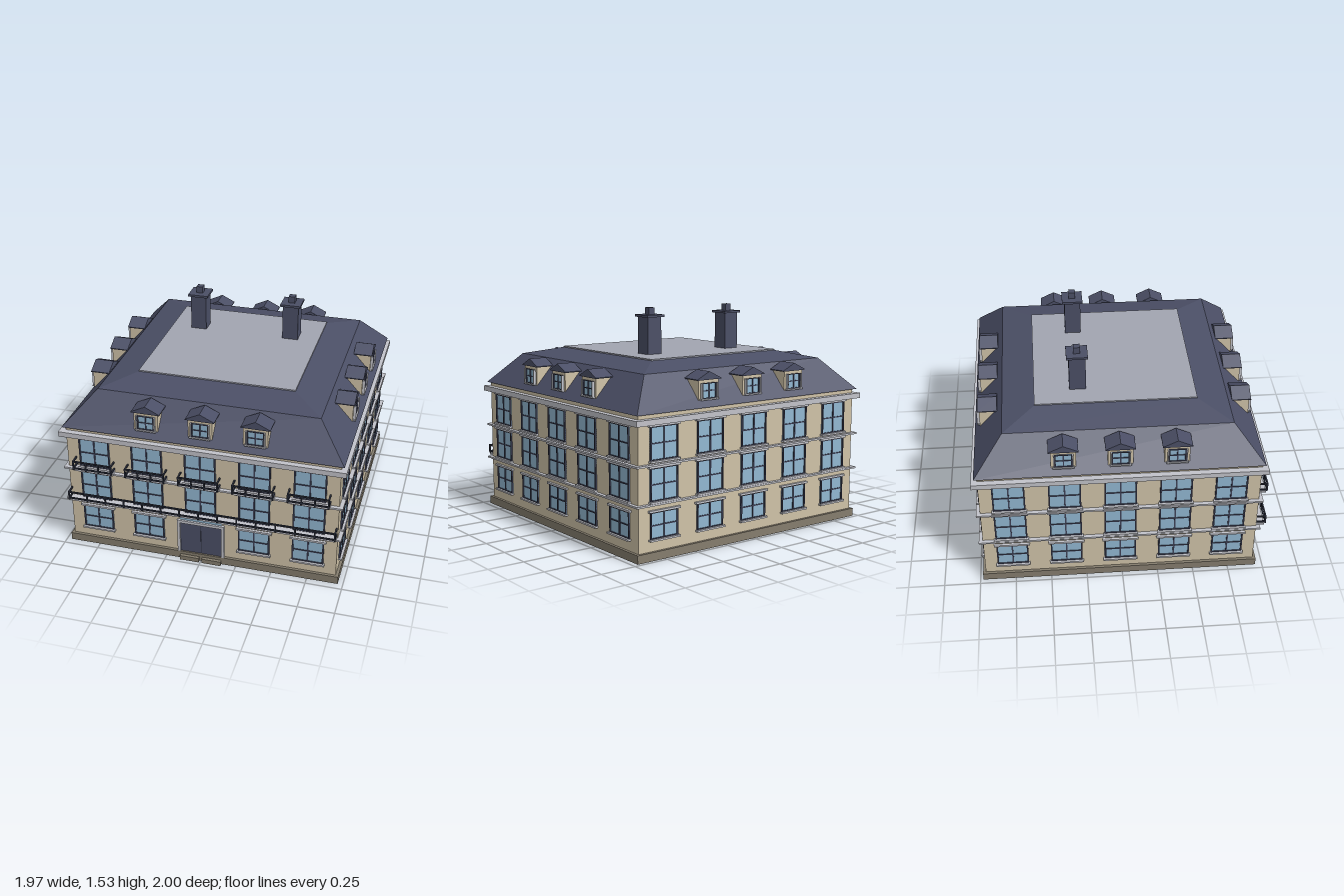
import * as THREE from 'three';

const mat = (name, color) => {
  const m = new THREE.MeshStandardMaterial({ color });
  m.name = name;
  return m;
};

export function createModel() {
  const M = {
    wall: mat('sandstone', 0xd0c3a8),
    trim: mat('pale trim', 0xc2c3ca),
    glass: mat('window glass', 0x92b8d2),
    frame: mat('window frame', 0x3f4258),
    slate: mat('roof slate', 0x4b4f66),
    lead: mat('flat roof', 0xa2a5b1),
    plinth: mat('plinth stone', 0x857d6e),
    iron: mat('railing iron', 0x2c303e),
  };
  const model = new THREE.Group();
  model.name = 'mansion';
  const house = new THREE.Group();
  house.name = 'house';
  house.position.z = -0.014;
  model.add(house);

  const add = (parent, name, geometry, material) => {
    const mesh = new THREE.Mesh(geometry, material);
    mesh.name = name;
    parent.add(mesh);
    return mesh;
  };
  // box given by its lower and upper limits on each axis
  const box = (parent, name, material, x0, x1, y0, y1, z0, z1) => {
    const g = new THREE.BoxGeometry(x1 - x0, y1 - y0, z1 - z0);
    g.translate((x0 + x1) / 2, (y0 + y1) / 2, (z0 + z1) / 2);
    return add(parent, name, g, material);
  };
  const slab = (name, material, r, y0, y1) => box(house, name, material, -r, r, y0, y1, -r, r);
  // four-sided frustum with half-widths r0 (bottom) and r1 (top)
  const frustum = (name, material, r0, r1, y0, y1) => {
    const g = new THREE.CylinderGeometry(r1 * Math.SQRT2, r0 * Math.SQRT2, y1 - y0, 4).toNonIndexed();
    g.rotateY(Math.PI / 4).translate(0, (y0 + y1) / 2, 0);
    g.computeVertexNormals();
    return add(house, name, g, material);
  };

  const W = 0.945; // half-width of the walls
  const COLS = [-2, -1, 0, 1, 2].map(i => i * 0.374);
  const FLOORS = [[0.137, 0.31], [0.38, 0.592], [0.64, 0.855]];

  // main body
  slab('plinth', M.plinth, 0.965, 0, 0.056);
  slab('walls', M.wall, W, 0.056, 0.936);
  slab('lowerBand', M.trim, 0.972, 0.355, 0.367);
  slab('upperBand', M.trim, 0.972, 0.607, 0.62);
  slab('cornice', M.trim, 0.985, 0.87, 0.907);

  // mansard roof
  frustum('lowerRoof', M.slate, 0.966, 0.768, 0.935, 1.155);
  frustum('upperRoof', M.slate, 0.768, 0.553, 1.155, 1.205);
  slab('flatRoof', M.lead, 0.549, 1.2, 1.214);

  // chimneys
  for (const x of [-0.344, 0.344]) {
    const c = new THREE.Group();
    c.name = 'chimney';
    c.position.set(x, 0, -0.25);
    house.add(c);
    box(c, 'chimneyStack', M.slate, -0.057, 0.057, 1.205, 1.47, -0.057, 0.057);
    box(c, 'chimneyCap', M.slate, -0.073, 0.073, 1.468, 1.484, -0.073, 0.073);
    box(c, 'chimneyPot', M.slate, -0.023, 0.023, 1.48, 1.532, -0.023, 0.023);
  }

  // glass pane with jambs, rails and a cross of glazing bars
  const glazing = (parent, hw, y0, y1, z, bar) => {
    box(parent, 'pane', M.glass, -hw, hw, y0, y1, z - 0.004, z + 0.003);
    const ym = (y0 + y1) / 2, f = z + 0.011;
    for (const s of [-1, 1]) {
      const x = s * (hw - bar / 2);
      box(parent, 'jamb', M.frame, x - bar / 2, x + bar / 2, y0, y1, z, f);
    }
    box(parent, 'mullion', M.frame, -bar / 2, bar / 2, y0, y1, z, f - 0.002);
    box(parent, 'transom', M.frame, -hw, hw, ym - bar * 0.4, ym + bar * 0.4, z, f - 0.003);
    box(parent, 'topRail', M.frame, -hw, hw, y1 - bar * 0.6, y1, z, f - 0.001);
    box(parent, 'bottomRail', M.frame, -hw, hw, y0, y0 + bar * 0.6, z, f - 0.001);
  };

  const makeWindow = (parent, x, [y0, y1]) => {
    const w = new THREE.Group();
    w.name = 'window';
    w.position.x = x;
    parent.add(w);
    glazing(w, 0.109, y0, y1, W, 0.01);
    box(w, 'sill', M.trim, -0.118, 0.118, y0 - 0.012, y0, W - 0.01, W + 0.026);
    box(w, 'lintel', M.trim, -0.124, 0.124, y1, y1 + 0.014, W - 0.01, W + 0.018);
  };

  const makeDormer = (parent, x) => {
    const d = new THREE.Group();
    d.name = 'dormer';
    d.position.x = x;
    parent.add(d);
    box(d, 'dormerBody', M.wall, -0.083, 0.083, 0.975, 1.112, 0.79, 0.927);
    const gable = new THREE.Shape([[-0.099, 1.108], [0.099, 1.108], [0.099, 1.114], [0, 1.162], [-0.099, 1.114]]
      .map(p => new THREE.Vector2(...p)));
    const roof = new THREE.ExtrudeGeometry(gable, { depth: 0.133, bevelEnabled: false });
    add(d, 'dormerRoof', roof.translate(0, 0, 0.804), M.slate);
    glazing(d, 0.058, 0.987, 1.088, 0.927, 0.008);
    for (const s of [-1, 1])
      box(d, 'dormerTrim', M.trim, s * 0.062 - 0.004, s * 0.062 + 0.004, 0.987, 1.088, 0.92, 0.946);
    box(d, 'dormerSill', M.trim, -0.072, 0.072, 0.978, 0.987, 0.92, 0.946);
  };

  // four facades, the first one with the entrance
  for (let side = 0; side < 4; side++) {
    const facade = new THREE.Group();
    facade.name = ['frontFacade', 'leftFacade', 'backFacade', 'rightFacade'][side];
    facade.rotation.y = side * Math.PI / 2;
    house.add(facade);
    FLOORS.forEach((span, floor) => COLS.forEach((x, col) => {
      if (side === 0 && floor === 0 && col === 2) return;
      makeWindow(facade, x, span);
    }));
    for (const x of COLS.slice(1, 4)) makeDormer(facade, x);
  }

  // entrance: double door, surround, fanlight and two steps
  const door = new THREE.Group();
  door.name = 'entrance';
  house.add(door);
  box(door, 'doorGap', M.iron, -0.147, 0.147, 0.056, 0.296, W - 0.01, W + 0.004);
  box(door, 'doorHead', M.trim, -0.167, 0.167, 0.296, 0.317, W - 0.01, W + 0.02);
  box(door, 'fanlight', M.glass, -0.147, 0.147, 0.317, 0.352, W - 0.003, W + 0.006);
  for (const s of [-1, 1]) {
    box(door, 'doorLeaf', M.slate, s * 0.0745 - 0.0725, s * 0.0745 + 0.0725, 0.056, 0.296, W, W + 0.009);
    box(door, 'doorJamb', M.trim, s * 0.157 - 0.01, s * 0.157 + 0.01, 0.056, 0.317, W - 0.01, W + 0.02);
    box(door, 'step', M.plinth, s * 0.079 - 0.068, s * 0.079 + 0.068, 0, 0.033, 0.95, 0.988);
  }

  // balcony: floor slab, rails along the front and returns at the ends
  const balcony = (x, hw, y0, y1, spans) => {
    const b = new THREE.Group();
    b.name = 'balcony';
    b.position.x = x;
    house.add(b);
    const F = 1.014, t = 0.01;
    box(b, 'balconyFloor', M.trim, -hw, hw, y0 - 0.02, y0 - 0.006, W, F - 0.012);
    for (const y of [y0, y1 - t]) {
      box(b, 'rail', M.iron, -hw, hw, y, y + t, F - t, F);
      for (const s of [-1, 1])
        box(b, 'endRail', M.iron, s * (hw - t / 2) - t / 2, s * (hw - t / 2) + t / 2, y, y + t, W, F - t);
    }
    for (let i = 0; i <= spans; i++) {
      const px = (hw - t / 2) * (2 * i / spans - 1);
      box(b, 'post', M.iron, px - t / 2, px + t / 2, y0 - 0.008, y1, F - t, F);
    }
  };
  balcony(0, 0.94, 0.39, 0.447, 14);
  for (const x of COLS) balcony(x, 0.141, 0.642, 0.704, 3);

  return model;
}
